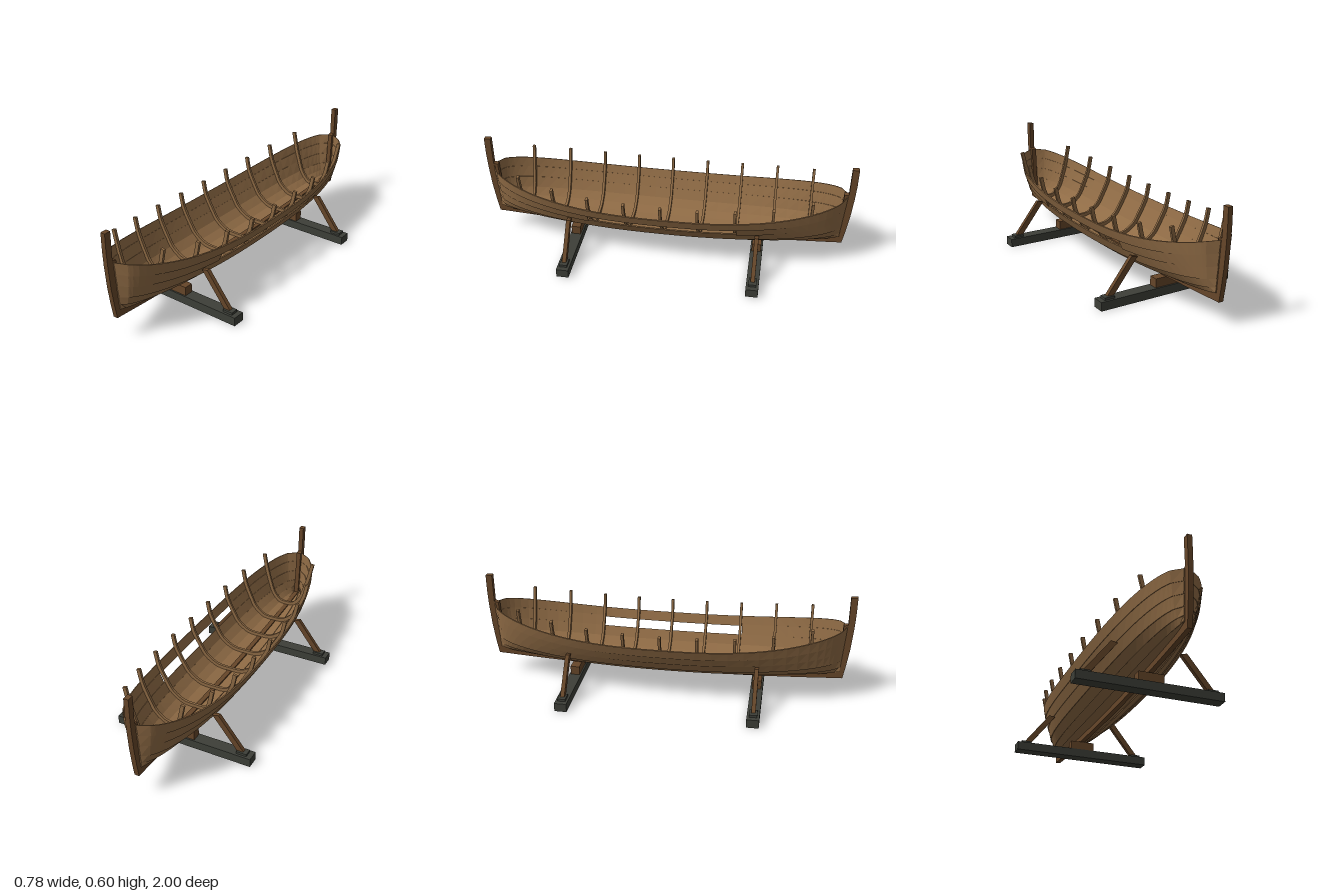
import * as THREE from 'three';

const mat = (name, color, extra = {}) => {
  const m = new THREE.MeshStandardMaterial({ color, ...extra });
  m.name = name;
  return m;
};

// Hull lines: half breadth, sheer height and bottom height along z
const END = 0.96;
const halfBreadth = z => 0.236 * Math.sqrt(Math.max(0, 1 - Math.pow(Math.abs(z) / END, 2.6)));
const sheer = z => 0.33 + 0.1 * Math.pow(Math.min(1, Math.abs(z) / 0.95), 2.5);
const bottom = z => 0.13 + 0.035 * (z / END) ** 2;

// Midship section at the seams between the strakes
const SEAMS = [[0.013, 0.13], [0.07, 0.137], [0.115, 0.157], [0.157, 0.19], [0.188, 0.238], [0.216, 0.287], [0.236, 0.33]];

function hullPoint(z, k) {
  const f = (SEAMS[k][1] - 0.13) / 0.2;
  const b = bottom(z);
  const x = Math.max(0.01, SEAMS[k][0] * halfBreadth(z) / 0.236);
  return new THREE.Vector2(x, b + f * (sheer(z) - b));
}
const rake = (z, y) => z * (1 - 0.02 * Math.max(0, (0.43 - y) / 0.27) * (z / END) ** 4);

// Solid through a row of equal cross-section loops, capped at both ends
function loft(rings) {
  const pos = [];
  const tri = (a, b, c) => [a, b, c].forEach(p => pos.push(p.x, p.y, p.z));
  const n = rings[0].length;
  for (let i = 0; i < rings.length - 1; i++) {
    for (let j = 0; j < n; j++) {
      const a = rings[i][j], b = rings[i][(j + 1) % n];
      const c = rings[i + 1][(j + 1) % n], d = rings[i + 1][j];
      tri(a, b, c);
      tri(a, c, d);
    }
  }
  const last = rings[rings.length - 1];
  for (let j = 1; j < n - 1; j++) {
    tri(rings[0][0], rings[0][j + 1], rings[0][j]);
    tri(last[0], last[j], last[j + 1]);
  }
  // Turn the faces outward if the enclosed volume is negative
  let volume = 0;
  const v = [0, 1, 2].map(() => new THREE.Vector3());
  for (let i = 0; i < pos.length; i += 9) {
    v.forEach((p, j) => p.fromArray(pos, i + j * 3));
    volume += v[0].dot(v[1].clone().cross(v[2]));
  }
  if (volume < 0) {
    for (let i = 0; i < pos.length; i += 9) {
      for (let j = 0; j < 3; j++) [pos[i + 3 + j], pos[i + 6 + j]] = [pos[i + 6 + j], pos[i + 3 + j]];
    }
  }
  const g = new THREE.BufferGeometry();
  g.setAttribute('position', new THREE.Float32BufferAttribute(pos, 3));
  g.computeVertexNormals();
  return g;
}

// One overlapping plank, its lower edge standing proud of the plank below
function strakeGeometry(k, side, stations) {
  return loft(stations.map(z => {
    const lo = hullPoint(z, k), hi = hullPoint(z, k + 1);
    const d = hi.clone().sub(lo).normalize();
    const n = new THREE.Vector2(d.y, -d.x);
    const foot = lo.clone().addScaledVector(d, k ? -0.008 : 0);
    const corner = (p, off) => {
      const q = p.clone().addScaledVector(n, off);
      return new THREE.Vector3(side * q.x, q.y, rake(z, q.y));
    };
    return [corner(foot, 0.004), corner(foot, 0.01), corner(hi, 0.006), corner(hi, 0)];
  }));
}

// U-shaped rib following the inside of the hull and rising above the sheer
function ribGeometry(z) {
  const half = SEAMS.map((_, k) => hullPoint(z, k)).slice(1);
  const top = half[half.length - 1];
  half.push(new THREE.Vector2(top.x + 0.016, top.y + 0.075));
  const pts = [
    ...half.slice().reverse().map(p => new THREE.Vector3(-p.x, p.y, z)),
    new THREE.Vector3(0, bottom(z) + 0.003, z),
    ...half.map(p => new THREE.Vector3(p.x, p.y, z)),
  ];
  const curve = new THREE.CatmullRomCurve3(pts, false, 'centripetal');
  const rings = [];
  for (let i = 0; i <= 40; i++) {
    const p = curve.getPoint(i / 40), t = curve.getTangent(i / 40);
    const at = (off, dz) => new THREE.Vector3(p.x - t.y * off, p.y + t.x * off, z + dz);
    rings.push([at(0, -0.007), at(0, 0.007), at(0.02, 0.007), at(0.02, -0.007)]);
  }
  return loft(rings);
}

export function createModel() {
  const model = new THREE.Group();
  model.name = 'clinkerBoatOnStands';
  const plank = mat('plankWood', 0x8f6b45, { flatShading: true });
  const ribWood = mat('ribWood', 0x8b6843);
  const darkWood = mat('darkWood', 0x664629);
  const beamPaint = mat('beamPaint', 0x3d3f38);
  const add = (name, geo, material, parent = model) => {
    const m = new THREE.Mesh(geo, material);
    m.name = name;
    parent.add(m);
    return m;
  };

  // Planking, with one opening amidships on the left
  const stations = [-0.962];
  for (let i = -16; i <= 16; i++) stations.push(0.93 * Math.sin(i / 16 * Math.PI / 2));
  stations.push(0.962);
  const GAP = 0.4;
  const hull = new THREE.Group();
  hull.name = 'hull';
  model.add(hull);
  for (const side of [-1, 1]) {
    for (let k = 0; k < 6; k++) {
      if (side === 1 && k === 4) {
        add('strakeBack', strakeGeometry(k, side, [...stations.filter(z => z < -GAP), -GAP]), plank, hull);
        add('strakeFront', strakeGeometry(k, side, [GAP, ...stations.filter(z => z > GAP)]), plank, hull);
      } else {
        add('strake', strakeGeometry(k, side, stations), plank, hull);
      }
    }
  }

  // Ribs
  for (let i = -4; i <= 4; i++) add('rib', ribGeometry(i * 0.195), ribWood);

  // Keel
  const keelRings = [];
  for (let i = -12; i <= 12; i++) {
    const z = i / 12 * 0.955;
    const y0 = 0.09 + 0.033 * (z / 0.955) ** 2, y1 = bottom(z) + 0.004;
    keelRings.push([[-0.013, y0], [0.013, y0], [0.013, y1], [-0.013, y1]].map(([x, y]) => new THREE.Vector3(x, y, z)));
  }
  add('keel', loft(keelRings), darkWood);

  // Tall posts at both ends
  const profile = [[0.965, 0.595], [0.965, 0.44], [0.942, 0.435], [0.93, 0.15], [0.94, 0.122],
    [0.962, 0.122], [0.975, 0.2], [0.988, 0.3], [0.997, 0.42], [1, 0.5], [1, 0.595]];
  const post = new THREE.ExtrudeGeometry(new THREE.Shape(profile.map(p => new THREE.Vector2(...p))),
    { depth: 0.026, bevelEnabled: false });
  post.translate(0, 0, -0.013).rotateY(-Math.PI / 2);
  add('frontPost', post, darkWood);
  add('backPost', post, darkWood).rotation.y = Math.PI;

  // Stands: ground beam, keel block, pads and slanted props
  for (const z of [-0.508, 0.508]) {
    const stand = new THREE.Group();
    stand.name = 'stand';
    stand.position.z = z;
    model.add(stand);
    add('groundBeam', new THREE.BoxGeometry(0.78, 0.047, 0.066), beamPaint, stand).position.y = 0.0235;
    add('keelBlock', new THREE.BoxGeometry(0.136, 0.052, 0.05), darkWood, stand).position.y = 0.07;
    for (const side of [-1, 1]) {
      add('propPad', new THREE.BoxGeometry(0.057, 0.014, 0.042), beamPaint, stand).position.set(side * 0.335, 0.053, 0);
      const section = (x, y) => [[-1, -1], [1, -1], [1, 1], [-1, 1]]
        .map(([a, b]) => new THREE.Vector3(side * (x + a * 0.017), y + a * 0.004, b * 0.011));
      add('prop', loft([section(0.326, 0.058), section(0.186, 0.238)]), darkWood, stand);
    }
  }
  return model;
}
